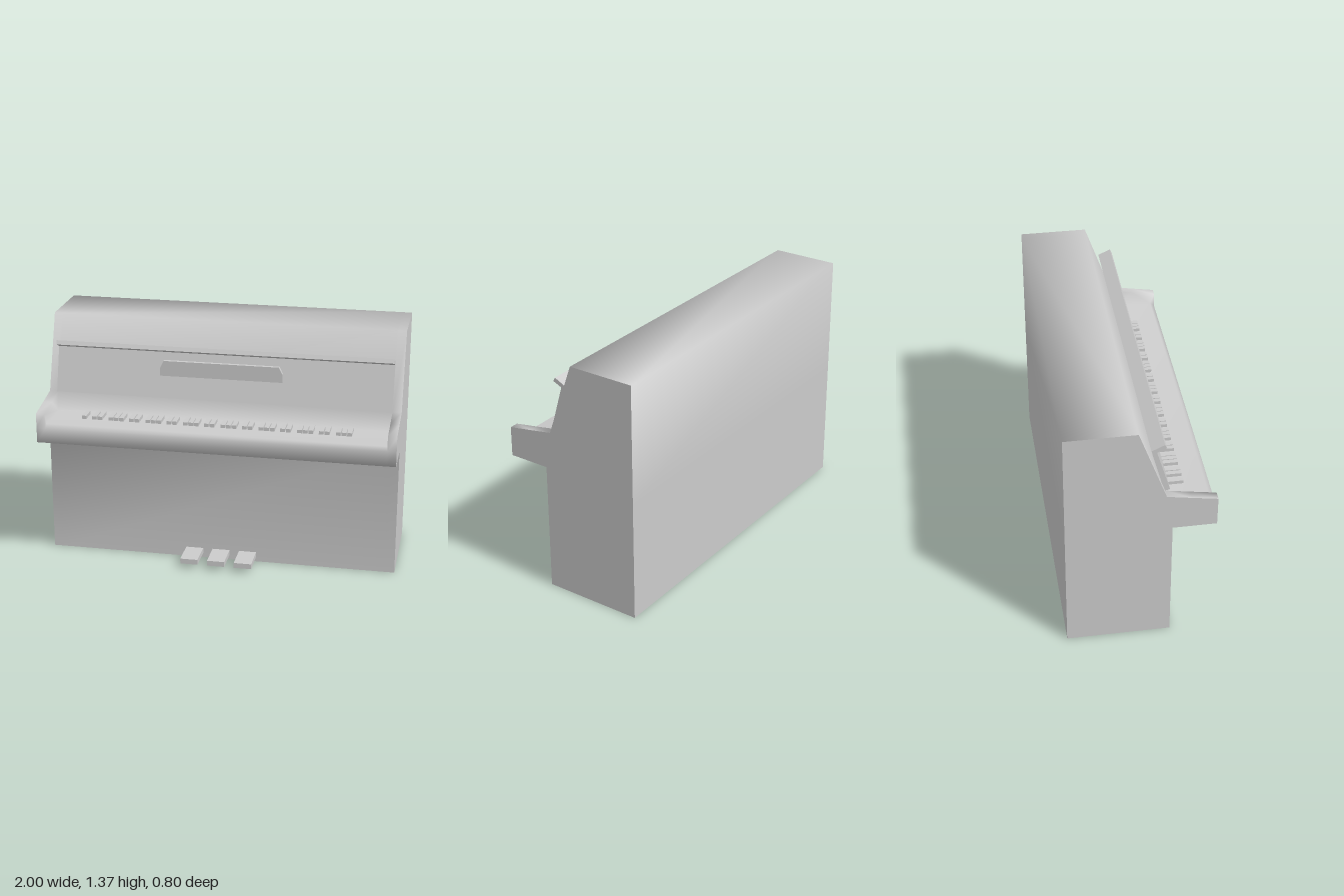
import * as THREE from 'three';
import { mergeVertices } from 'three/addons/utils/BufferGeometryUtils.js';

const material = new THREE.MeshStandardMaterial({ color: 0xcccccc, side: THREE.DoubleSide });

function add(parent, name, geometry, x = 0, y = 0, z = 0) {
  const mesh = new THREE.Mesh(geometry, material);
  mesh.name = name;
  mesh.position.set(x, y, z);
  parent.add(mesh);
  return mesh;
}

// Case profiles as [z, y], from the front foot over the top to the back foot
const cheekProfile = [
  [0.165, 0], [0.165, 0.735], [0.4, 0.735], [0.4, 0.82], [0.4, 0.903], [0.26, 0.927],
  [0.13, 0.95], [-0.02, 1.37], [-0.4, 1.37], [-0.4, 0.7], [-0.4, 0],
];
// Between the cheeks the profile drops to the key bed
const keyBedProfile = cheekProfile.map((p) => [...p]);
keyBedProfile[4] = [0.375, 0.84];
keyBedProfile[5] = [0.145, 0.84];

// Skin through a row of profiles, smooth shaded, open at the bottom
function loft(stations) {
  const positions = [];
  const index = [];
  const n = stations[0].profile.length;
  for (const { x, profile } of stations) {
    for (const [z, y] of profile) positions.push(x, y, z);
  }
  for (let s = 0; s < stations.length - 1; s++) {
    for (let i = 0; i < n - 1; i++) {
      const a = s * n + i;
      const b = a + n;
      index.push(a, b, b + 1, a, b + 1, a + 1);
    }
  }
  const geometry = new THREE.BufferGeometry();
  geometry.setAttribute('position', new THREE.Float32BufferAttribute(positions, 3));
  geometry.setIndex(index);
  const merged = mergeVertices(geometry);
  merged.computeVertexNormals();
  return merged;
}

// Flat end panel for one side (+1 or -1)
function sidePanel(side) {
  const shape = new THREE.Shape(cheekProfile.map(([z, y]) => new THREE.Vector2(-side * z, y)));
  return new THREE.ShapeGeometry(shape).rotateY(side * Math.PI / 2);
}

// Extrude a [z, y] outline along x, centred
function extrudeAlongX(outline, width) {
  const shape = new THREE.Shape(outline.map(([z, y]) => new THREE.Vector2(-z, y)));
  return new THREE.ExtrudeGeometry(shape, { depth: width, bevelEnabled: false })
    .translate(0, 0, -width / 2)
    .rotateY(Math.PI / 2);
}

export function createModel() {
  const piano = new THREE.Group();
  piano.name = 'uprightPiano';

  // Case with cheeks and key bed
  add(piano, 'case', loft([
    { x: -1, profile: cheekProfile },
    { x: -0.95, profile: cheekProfile },
    { x: -0.95, profile: keyBedProfile },
    { x: 0.95, profile: keyBedProfile },
    { x: 0.95, profile: cheekProfile },
    { x: 1, profile: cheekProfile },
  ]));
  add(piano, 'leftSidePanel', sidePanel(1), 1);
  add(piano, 'rightSidePanel', sidePanel(-1), -1);

  // Raised fallboard with its folded lip
  add(piano, 'fallboard', extrudeAlongX([
    [0.155, 0.957], [0.125, 0.95], [0.054, 1.217], [0.123, 1.25], [0.134, 1.228], [0.083, 1.205],
  ], 1.9));

  // Music rest with clipped upper corners
  const rest = new THREE.Shape([
    [-0.35, 1.083], [0.34, 1.083], [0.34, 1.13], [0.32, 1.17], [-0.33, 1.17], [-0.35, 1.13],
  ].map(([x, y]) => new THREE.Vector2(x, y)));
  add(piano, 'musicRest', new THREE.ExtrudeGeometry(rest, { depth: 0.02, bevelEnabled: false }), 0, 0, 0.121);

  // Black keys: one alone, then seven octaves in twos and threes
  const keys = new THREE.Group();
  keys.name = 'blackKeys';
  piano.add(keys);
  const keyGeometry = new THREE.BoxGeometry(0.026, 0.03, 0.09);
  const keyXs = [-0.765];
  for (let octave = 0; octave < 7; octave++) {
    for (const offset of [0, 0.032, 0.094, 0.125, 0.156]) keyXs.push(-0.705 + octave * 0.2135 + offset);
  }
  for (const x of keyXs) add(keys, 'blackKey', keyGeometry, x, 0.844, 0.215);

  // Three pedals passing through the front panel
  const pedalGeometry = new THREE.BoxGeometry(0.1, 0.03, 0.25);
  for (const x of [-0.155, 0, 0.155]) add(piano, 'pedal', pedalGeometry, x, 0.042, 0.205);

  return piano;
}
